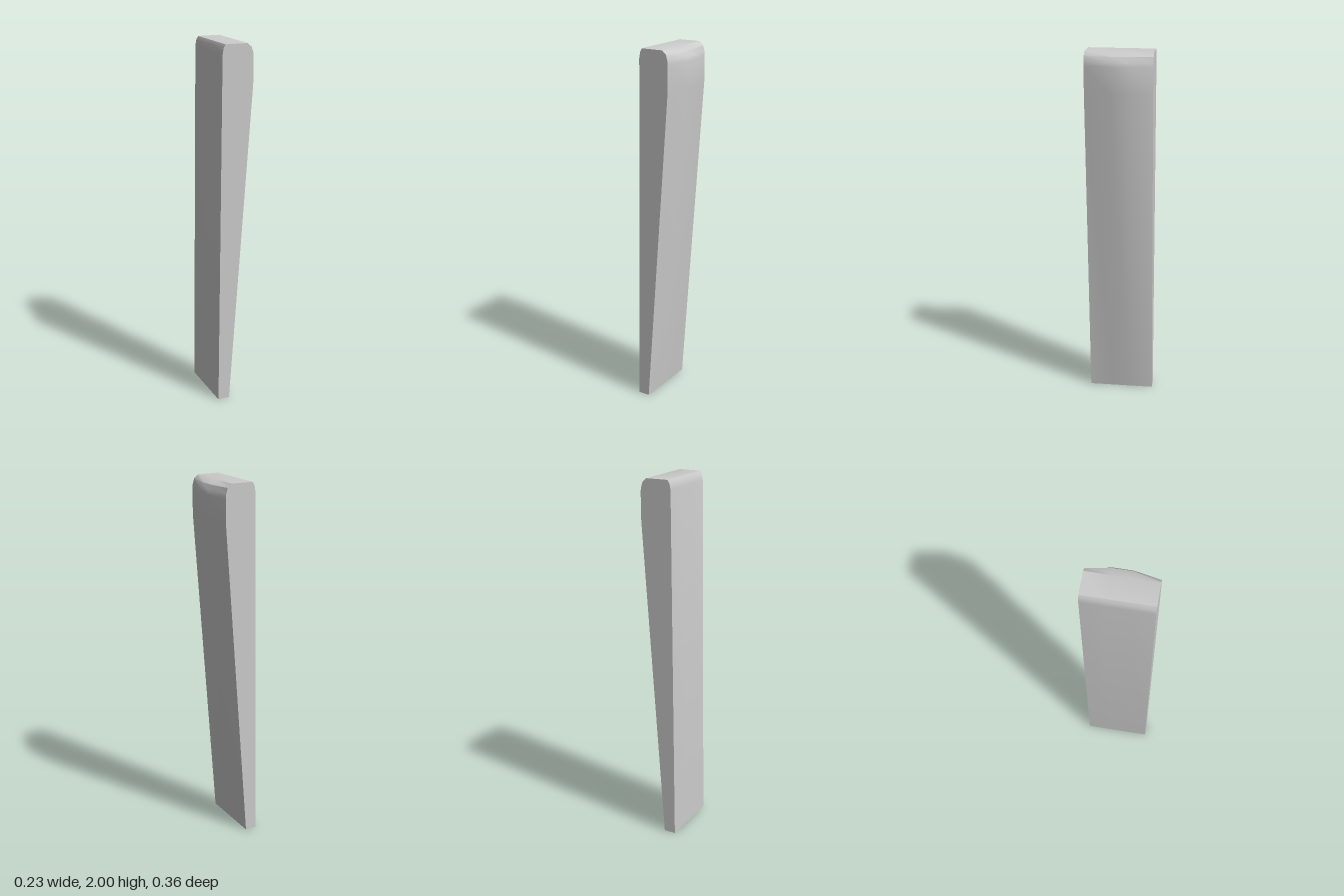
import * as THREE from 'three';
import { toCreasedNormals } from 'three/addons/utils/BufferGeometryUtils.js';

// Wedge profile (x, y), counter-clockwise seen from +z; third value is the
// sideways bulge of that point in the middle of the depth.
const PROFILE = [
  [-0.117, 0, 0], [-0.052, 0, 0], [0.083, 1.79, 0.032], [0.084, 1.93, 0.033],
  [0.082, 1.95, 0.03], [0.073, 1.98, 0.022], [0.05, 2, 0],
  [-0.073, 2, 0], [-0.084, 1.982, 0], [-0.09, 1.95, 0],
];
// Stations along the depth: [z, bulge amount]
const STATIONS = [[-0.182, 0], [-0.055, 1], [0.045, 1], [0.182, 0]];

function wedgeGeometry() {
  const n = PROFILE.length;
  const points = [];
  const index = [];
  for (const [z, b] of STATIONS) {
    for (const [x, y, bulge] of PROFILE) points.push(x + bulge * b, y, z);
  }
  // Skin between neighbouring stations
  for (let s = 0; s < STATIONS.length - 1; s++) {
    for (let i = 0; i < n; i++) {
      const j = (i + 1) % n;
      const a = s * n + i, b = s * n + j, c = a + n, d = b + n;
      index.push(a, b, d, a, d, c);
    }
  }
  // Flat end caps
  const last = (STATIONS.length - 1) * n;
  for (let i = 1; i < n - 1; i++) {
    index.push(0, i + 1, i);
    index.push(last, last + i, last + i + 1);
  }
  const geometry = new THREE.BufferGeometry();
  geometry.setAttribute('position', new THREE.Float32BufferAttribute(points, 3));
  geometry.setIndex(index);
  return toCreasedNormals(geometry, 0.45);
}

export function createModel() {
  const group = new THREE.Group();
  group.name = 'taperedWedge';
  const material = new THREE.MeshStandardMaterial({ color: 0xcccccc });
  const body = new THREE.Mesh(wedgeGeometry(), material);
  body.name = 'wedgeBody';
  group.add(body);
  return group;
}
